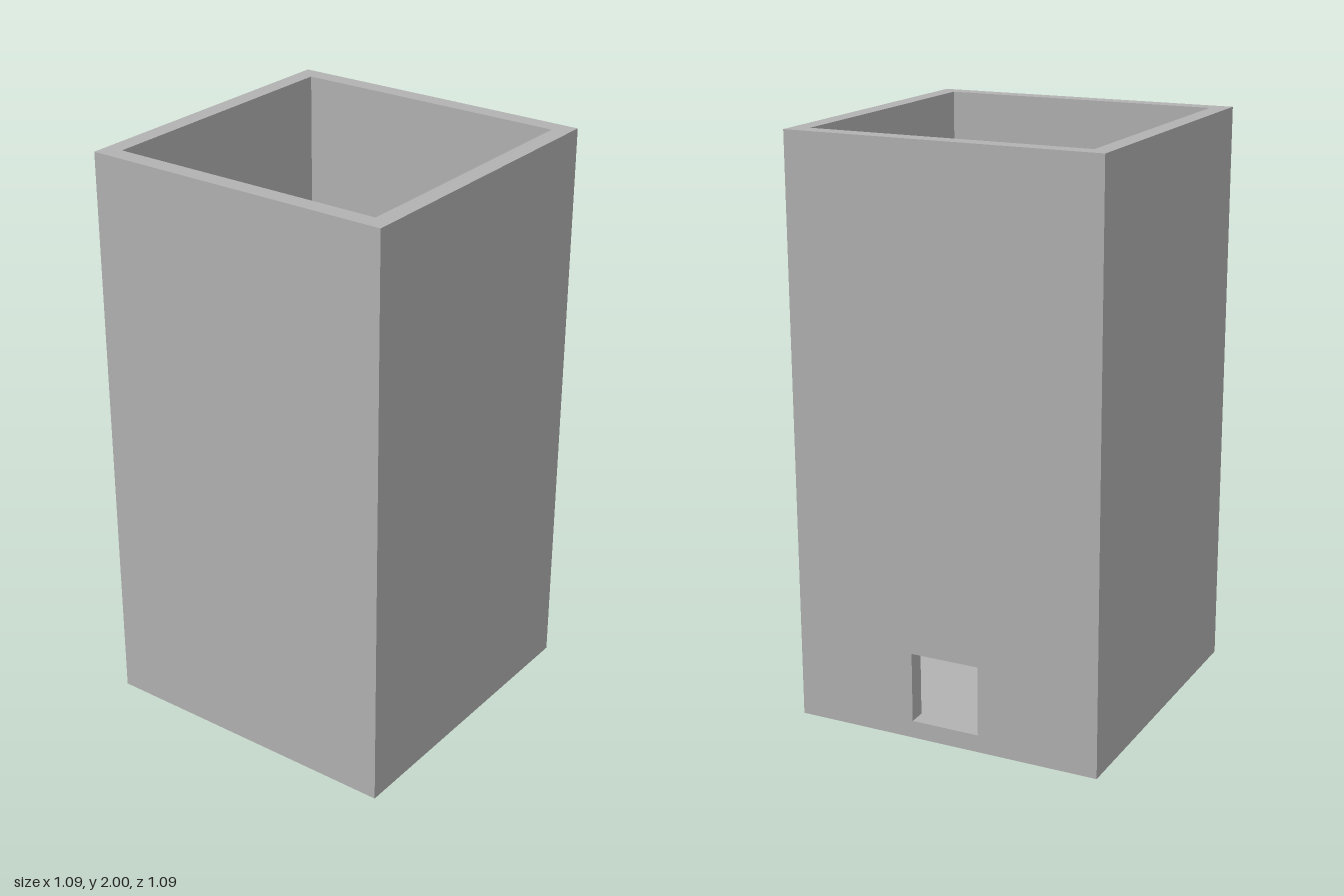
import * as THREE from 'three';

const U = 2 / 33;               // wall thickness
const OUT = 9 * U, IN = 8 * U;  // half widths outside and inside
const H = 33 * U;               // height
const WIN = 2 * U;              // half width of the window
const SILL = U, HEAD = 5 * U;   // window bottom and top, sill level with the floor

const rect = (x, y0, y1) => [[-x, y0], [x, y0], [x, y1], [-x, y1]].map(p => new THREE.Vector2(...p));

export function createModel() {
  const group = new THREE.Group();
  const grey = new THREE.MeshStandardMaterial({ color: 0xb2b2b2 });
  grey.name = 'grey';

  const add = (name, geometry) => {
    const mesh = new THREE.Mesh(geometry, grey);
    mesh.name = name;
    group.add(mesh);
  };
  const flat = (points, hole) => {
    const shape = new THREE.Shape(points);
    if (hole) shape.holes.push(new THREE.Path(hole));
    return new THREE.ShapeGeometry(shape);
  };

  // Outer and inner faces of the four walls, with the window in the +x wall
  const sides = ['front', 'left', 'back', 'right'];
  for (let i = 0; i < 4; i++) {
    const outer = flat(rect(OUT, 0, H), i === 1 ? rect(WIN, SILL, HEAD) : null);
    add(sides[i] + 'OuterWall', outer.translate(0, 0, OUT).rotateY(i * Math.PI / 2));

    // The inner opening reaches the floor, so it is a notch in the outline
    const outline = rect(IN, SILL, H);
    if (i === 3) {
      const [a, b, c, d] = rect(WIN, SILL, HEAD);
      outline.splice(1, 0, a, d, c, b);
    }
    add(sides[(i + 2) % 4] + 'InnerWall', flat(outline).translate(0, 0, -IN).rotateY(i * Math.PI / 2));
  }

  // Top rim, floor and underside
  add('rim', flat(rect(OUT, -OUT, OUT), rect(IN, -IN, IN)).rotateX(-Math.PI / 2).translate(0, H, 0));
  add('floor', new THREE.PlaneGeometry(2 * IN, 2 * IN).rotateX(-Math.PI / 2).translate(0, SILL, 0));
  add('underside', new THREE.PlaneGeometry(2 * OUT, 2 * OUT).rotateX(Math.PI / 2));

  // Window reveals through the wall thickness
  const mid = (OUT + IN) / 2, midY = (SILL + HEAD) / 2;
  add('windowSill', new THREE.PlaneGeometry(U, 2 * WIN).rotateX(-Math.PI / 2).translate(mid, SILL, 0));
  add('windowHead', new THREE.PlaneGeometry(U, 2 * WIN).rotateX(Math.PI / 2).translate(mid, HEAD, 0));
  add('windowBackJamb', new THREE.PlaneGeometry(U, HEAD - SILL).translate(mid, midY, -WIN));
  add('windowFrontJamb', new THREE.PlaneGeometry(U, HEAD - SILL).rotateY(Math.PI).translate(mid, midY, WIN));

  return group;
}
